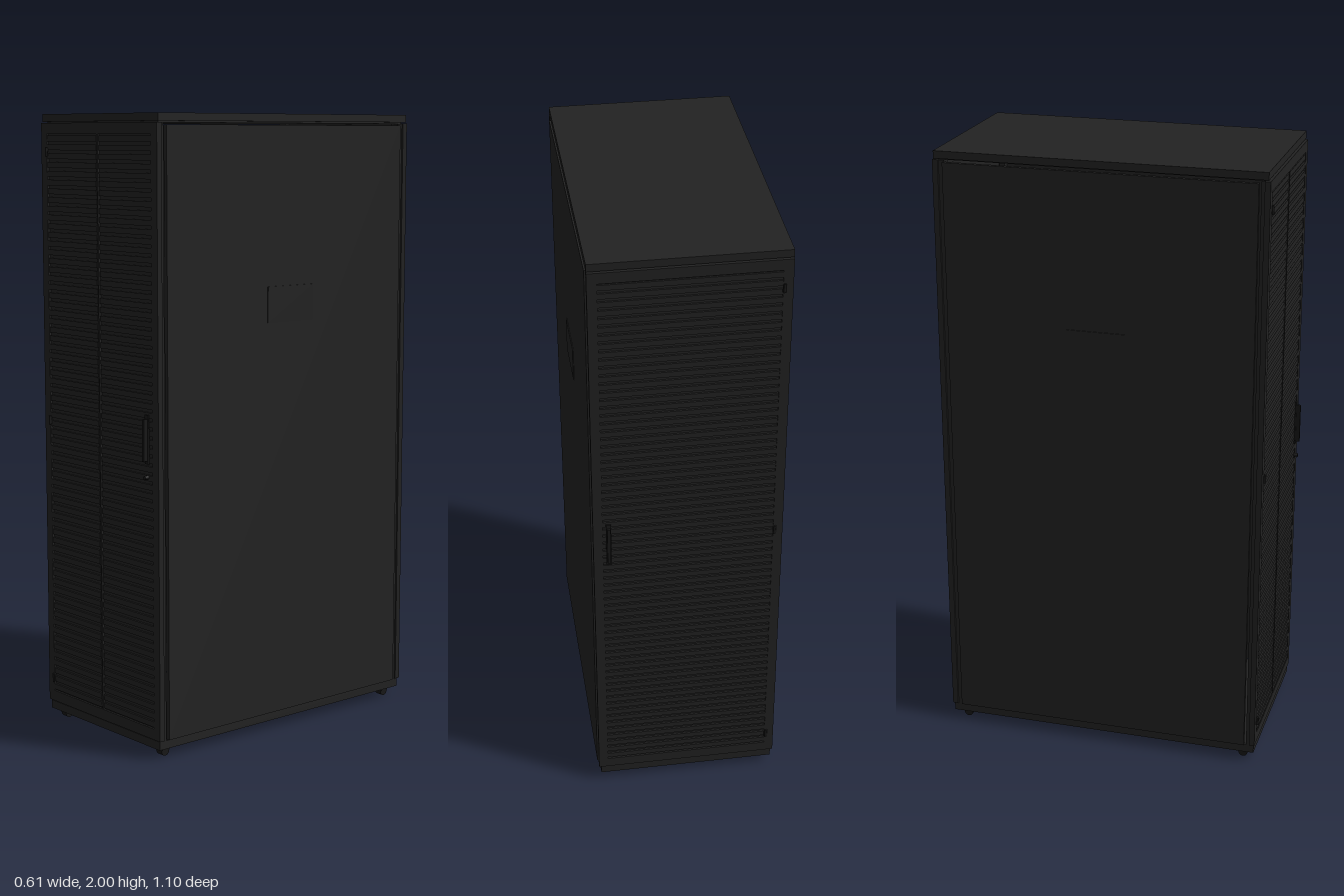
import * as THREE from 'three';

const mat = (name, color) => {
  const m = new THREE.MeshStandardMaterial({ color });
  m.name = name;
  return m;
};

export function createModel() {
  const root = new THREE.Group();
  root.name = 'serverCabinet';
  const steel = mat('darkSteel', 0x222222);
  const black = mat('blackPlastic', 0x171717);

  // Box given by its x, y and z extents
  const box = (parent, name, m, [x0, x1], [y0, y1], [z0, z1]) => {
    const mesh = new THREE.Mesh(new THREE.BoxGeometry(x1 - x0, y1 - y0, z1 - z0), m);
    mesh.position.set((x0 + x1) / 2, (y0 + y1) / 2, (z0 + z1) / 2);
    mesh.name = name;
    parent.add(mesh);
    return mesh;
  };
  const cylinder = (parent, name, m, r, h, x, y, z, axis) => {
    const mesh = new THREE.Mesh(new THREE.CylinderGeometry(r, r, h, 20), m);
    if (axis === 'x') mesh.rotation.z = Math.PI / 2;
    if (axis === 'z') mesh.rotation.x = Math.PI / 2;
    mesh.position.set(x, y, z);
    mesh.name = name;
    parent.add(mesh);
  };

  // Roof and floor
  box(root, 'roof', steel, [-0.298, 0.298], [1.976, 2], [-0.53, 0.525]);
  box(root, 'roofNeck', steel, [-0.285, 0.285], [1.971, 1.976], [-0.52, 0.515]);
  box(root, 'floor', steel, [-0.291, 0.291], [0.03, 0.057], [-0.53, 0.527]);

  // Hollow frame, with side panels that leave a fine gap
  for (const s of [-1, 1]) {
    const side = new THREE.Group();
    side.name = s > 0 ? 'leftSide' : 'rightSide';
    root.add(side);
    const span = (a, b) => (s > 0 ? [a, b] : [-b, -a]);
    box(side, 'frontPost', steel, span(0.262, 0.293), [0.057, 1.971], [0.502, 0.515]);
    box(side, 'backPost', steel, span(0.262, 0.293), [0.057, 1.971], [-0.515, -0.497]);
    box(side, 'sidePanel', steel, span(0.287, 0.301), [0.06, 1.965], [-0.501, 0.496]);
    box(side, 'sidePanelPlate', steel, span(0.301, 0.304), [1.345, 1.46], [-0.103, 0.09]);
  }

  // Slotted door, built facing +z with its skin at z = 0
  const makeDoor = (name, divided) => {
    const door = new THREE.Group();
    door.name = name;
    const y0 = 0.06, y1 = 1.972, w = 0.298, inner = 0.268;
    box(door, 'doorBacking', steel, [-inner, inner], [y0, y1], [-0.015, -0.007]);
    for (const s of [-1, 1])
      box(door, 'doorStile', steel, s > 0 ? [inner, w] : [-w, -inner], [y0, y1], [-0.018, 0]);
    box(door, 'doorBottomRail', steel, [-inner, inner], [y0, 0.095], [-0.018, 0]);
    box(door, 'doorTopRail', steel, [-inner, inner], [1.937, y1], [-0.018, 0]);

    // Rows of slats
    const rows = 66, pitch = (1.937 - 0.095) / rows;
    const spans = divided ? [[-inner, -0.007], [0.007, inner]] : [[-inner, inner]];
    for (let i = 0; i < rows; i++) {
      const y = 0.095 + (i + 0.5) * pitch;
      for (const sp of spans)
        box(door, 'slat', steel, sp, [y - pitch * 0.32, y + pitch * 0.32], [-0.008, -0.001]);
    }
    if (divided) box(door, 'centreStrip', steel, [-0.003, 0.003], [0.095, 1.937], [-0.008, 0]);

    // Hinges
    for (const y of [0.14, 1.012, 1.88]) {
      const hinge = new THREE.Group();
      hinge.name = 'hinge';
      door.add(hinge);
      const x = divided ? -0.268 : 0.272;
      box(hinge, 'hingePlate', black, [x - 0.006, x + 0.006], [y - 0.012, y + 0.012], [0, 0.003]);
      cylinder(hinge, 'hingePin', black, 0.004, 0.028, x, y, 0.003);
    }

    // Handle and lock
    const hx = divided ? 0.245 : -0.25;
    box(door, 'handlePlate', black, [hx - 0.008, hx + 0.008], [0.935, 1.088], [0, 0.005]);
    box(door, 'handleGrip', black, [hx - 0.005, hx + 0.005], [0.945, 1.075], [0.005, divided ? 0.018 : 0.013]);
    if (divided) cylinder(door, 'lock', black, 0.006, 0.014, hx, 0.893, 0.007, 'z');
    root.add(door);
    return door;
  };
  makeDoor('frontDoor', true).position.z = 0.531;
  const back = makeDoor('backDoor', false);
  back.rotation.y = Math.PI;
  back.position.z = -0.534;

  // Castors
  for (const x of [-0.257, 0.257])
    for (const z of [-0.488, 0.488]) {
      const castor = new THREE.Group();
      castor.name = 'castor';
      root.add(castor);
      box(castor, 'castorFork', black, [x - 0.016, x + 0.016], [0.018, 0.031], [z - 0.014, z + 0.014]);
      cylinder(castor, 'castorWheel', black, 0.015, 0.026, x, 0.015, z, 'x');
    }
  return root;
}
